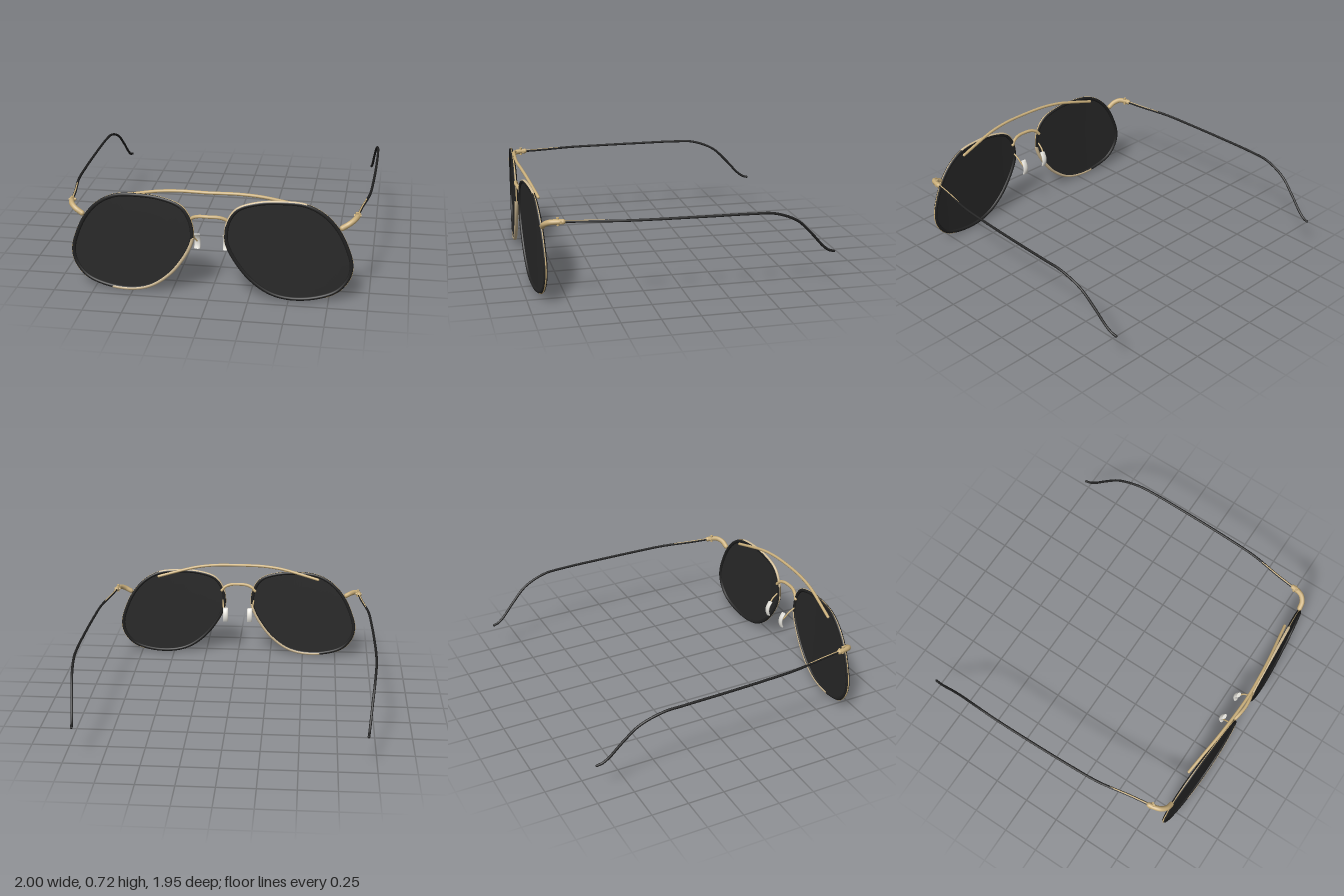
import * as THREE from 'three';

const material = (name, color, side = THREE.FrontSide) => {
  const m = new THREE.MeshStandardMaterial({ color, side });
  m.name = name;
  return m;
};

// Outline of one lens, clockwise from the nose side
const OUTLINE = [
  [0.094, 0.41], [0.108, 0.52], [0.168, 0.612], [0.30, 0.66], [0.46, 0.671], [0.60, 0.657],
  [0.712, 0.60], [0.803, 0.502], [0.869, 0.37], [0.900, 0.25], [0.884, 0.16], [0.813, 0.068],
  [0.68, 0.016], [0.515, 0.004], [0.38, 0.038], [0.25, 0.133], [0.153, 0.26], [0.106, 0.355],
];
const CX = 0.5, CY = 0.34;
const outline = new THREE.CatmullRomCurve3(
  OUTLINE.map(([x, y]) => new THREE.Vector3(x, y, 0)), true, 'centripetal');

// Wrap of the frame front: z falls back towards the temples
const wrapZ = (x) => 0.951 - 0.02 * x - 0.05 * x * x;

// Point on the outline at t, scaled by k about the lens centre, on side s
function rimPoint(t, k, s) {
  const p = outline.getPoint(((t % 1) + 1) % 1);
  const x = CX + (p.x - CX) * k, y = CY + (p.y - CY) * k;
  return new THREE.Vector3(s * x, y, wrapZ(x));
}

// Slightly wrapped lens made from concentric rings
function lensGeometry(s) {
  const rings = 6, n = 96, pos = [], index = [];
  for (let r = 0; r <= rings; r++)
    for (let i = 0; i < n; i++) pos.push(...rimPoint(i / n, 0.966 * r / rings, s).toArray());
  for (let r = 0; r < rings; r++)
    for (let i = 0; i < n; i++) {
      const j = (i + 1) % n;
      const a = r * n + i, b = r * n + j, c = a + n, d = b + n;
      if (s > 0) index.push(a, d, c, a, b, d);
      else index.push(a, c, d, a, d, b);
    }
  const g = new THREE.BufferGeometry();
  g.setAttribute('position', new THREE.Float32BufferAttribute(pos, 3));
  g.setIndex(index);
  g.computeVertexNormals();
  return g;
}

// Oval nose pad, bowed along its height
function padGeometry() {
  const g = new THREE.CylinderGeometry(1, 1, 0.102, 20, 10);
  g.scale(0.02, 1, 0.011);
  const p = g.attributes.position;
  for (let i = 0; i < p.count; i++) {
    const y = p.getY(i) / 0.051;
    p.setZ(i, p.getZ(i) + 0.016 * y * y - 0.006 * (1 - y));
  }
  g.computeVertexNormals();
  return g;
}

export function createModel() {
  const gold = material('gold metal', 0xcbb07c);
  const paleGold = material('pale gold rim', 0xd2bd97);
  const black = material('black metal', 0x212121);
  const dark = material('dark lens', 0x292929, THREE.DoubleSide);
  const pad = material('clear pad', 0xe6e4dd);

  const model = new THREE.Group();
  model.name = 'sunglasses';

  const add = (name, geometry, mat, parent = model) => {
    const mesh = new THREE.Mesh(geometry, mat);
    mesh.name = name;
    parent.add(mesh);
    return mesh;
  };

  // Round wire through points, with rounded ends
  const wire = (name, pts, radius, mat, parent = model, segments = 48) => {
    const v = pts.map((p) => new THREE.Vector3(...p));
    const g = new THREE.Group();
    g.name = name;
    parent.add(g);
    add(name + 'Tube', new THREE.TubeGeometry(new THREE.CatmullRomCurve3(v), segments, radius, 10), mat, g);
    for (const p of [v[0], v[v.length - 1]])
      add(name + 'End', new THREE.SphereGeometry(radius, 10, 8), mat, g).position.copy(p);
  };

  // Closed wire around the whole outline
  const rimLoop = (name, k, radius, mat, s, parent) => {
    const pts = Array.from({ length: 72 }, (_, i) => rimPoint(i / 72, k, s));
    add(name, new THREE.TubeGeometry(new THREE.CatmullRomCurve3(pts, true), 128, radius, 10, true), mat, parent);
  };

  // Rim stretch between two outline positions (in outline point numbers)
  const rimArc = (name, from, to, k, radius, mat, s, parent) => {
    const pts = [], n = 40;
    for (let i = 0; i <= n; i++)
      pts.push(rimPoint((from + (to - from) * i / n) / OUTLINE.length, k, s).toArray());
    wire(name, pts, radius, mat, parent, 64);
  };

  for (const s of [1, -1]) {
    const side = new THREE.Group();
    side.name = s > 0 ? 'leftSide' : 'rightSide';
    model.add(side);
    const mirror = (pts) => pts.map(([x, y, z]) => [s * x, y, z]);

    // Lens, black rim and the thin gold line around it
    add('lens', lensGeometry(s), dark, side);
    rimLoop('rim', 0.966, 0.0125, black, s, side);
    rimLoop('rimEdge', 0.989, 0.005, gold, s, side);

    // Bare gold stretches of the rim
    if (s > 0) {
      rimArc('goldRimTop', 0.8, 5, 0.978, 0.0105, paleGold, s, side);
      rimArc('goldRimInner', -2.5, 0.8, 0.985, 0.0065, paleGold, s, side);
      rimArc('goldRimBottom', 11.4, 11.6, 0.975, 0.011, gold, s, side);
    } else {
      rimArc('goldRimInner', 12.3, 17.8, 0.97, 0.0132, paleGold, s, side);
    }

    // Endpiece curling from rim to temple arm
    wire('endpiece', mirror([[0.822, 0.503, 0.898], [0.862, 0.528, 0.89], [0.893, 0.546, 0.862],
      [0.908, 0.551, 0.82], [0.913, 0.551, 0.785]]), 0.0175, gold, side);

    // Hinge pin and screw
    add('hingePin', new THREE.CylinderGeometry(0.009, 0.009, 0.054, 12), gold, side)
      .position.set(s * 0.905, 0.552, 0.815);
    const screw = add('hingeScrew', new THREE.CylinderGeometry(0.008, 0.008, 0.046, 12), gold, side);
    screw.rotation.z = Math.PI / 2;
    screw.position.set(s * 0.908, 0.552, 0.8);

    // Temple arm with curved ear hook, and the gold core showing near the hinge
    wire('templeArm', mirror([[0.911, 0.551, 0.785], [0.93, 0.55, 0.65], [0.968, 0.549, 0.43],
      [0.981, 0.547, 0.2], [0.989, 0.545, -0.1], [0.991, 0.542, -0.4], [0.986, 0.533, -0.54],
      [0.972, 0.473, -0.695], [0.957, 0.376, -0.8], [0.944, 0.278, -0.89], [0.938, 0.245, -0.935],
      [0.934, 0.236, -0.968]]), 0.0085, black, side, 120);
    wire('armCore', mirror([[0.911, 0.555, 0.785], [0.93, 0.554, 0.65], [0.955, 0.5525, 0.51]]),
      0.0055, gold, side, 30);

    // Nose pad on its wire
    wire('padWire', mirror([[0.118, 0.43, 0.935], [0.113, 0.40, 0.895], [0.105, 0.365, 0.87],
      [0.093, 0.34, 0.855]]), 0.0055, gold, side, 20);
    add('nosePad', padGeometry(), pad, side).position.set(s * 0.092, 0.34, 0.85);
  }

  // Brow bar across the top, ending behind the lenses
  wire('browBar', [[-0.605, 0.626, 0.89], [-0.45, 0.665, 0.912], [-0.32, 0.693, 0.93], [-0.18, 0.707, 0.943],
    [0, 0.708, 0.951], [0.18, 0.707, 0.943], [0.32, 0.693, 0.93], [0.45, 0.665, 0.912],
    [0.605, 0.626, 0.89]], 0.01, gold, model, 80);

  // Bridge over the nose
  wire('bridge', [[-0.127, 0.508, 0.938], [-0.105, 0.533, 0.945], [-0.065, 0.549, 0.955], [0, 0.552, 0.961],
    [0.065, 0.549, 0.955], [0.105, 0.533, 0.945], [0.127, 0.508, 0.938]], 0.011, gold);

  return model;
}
